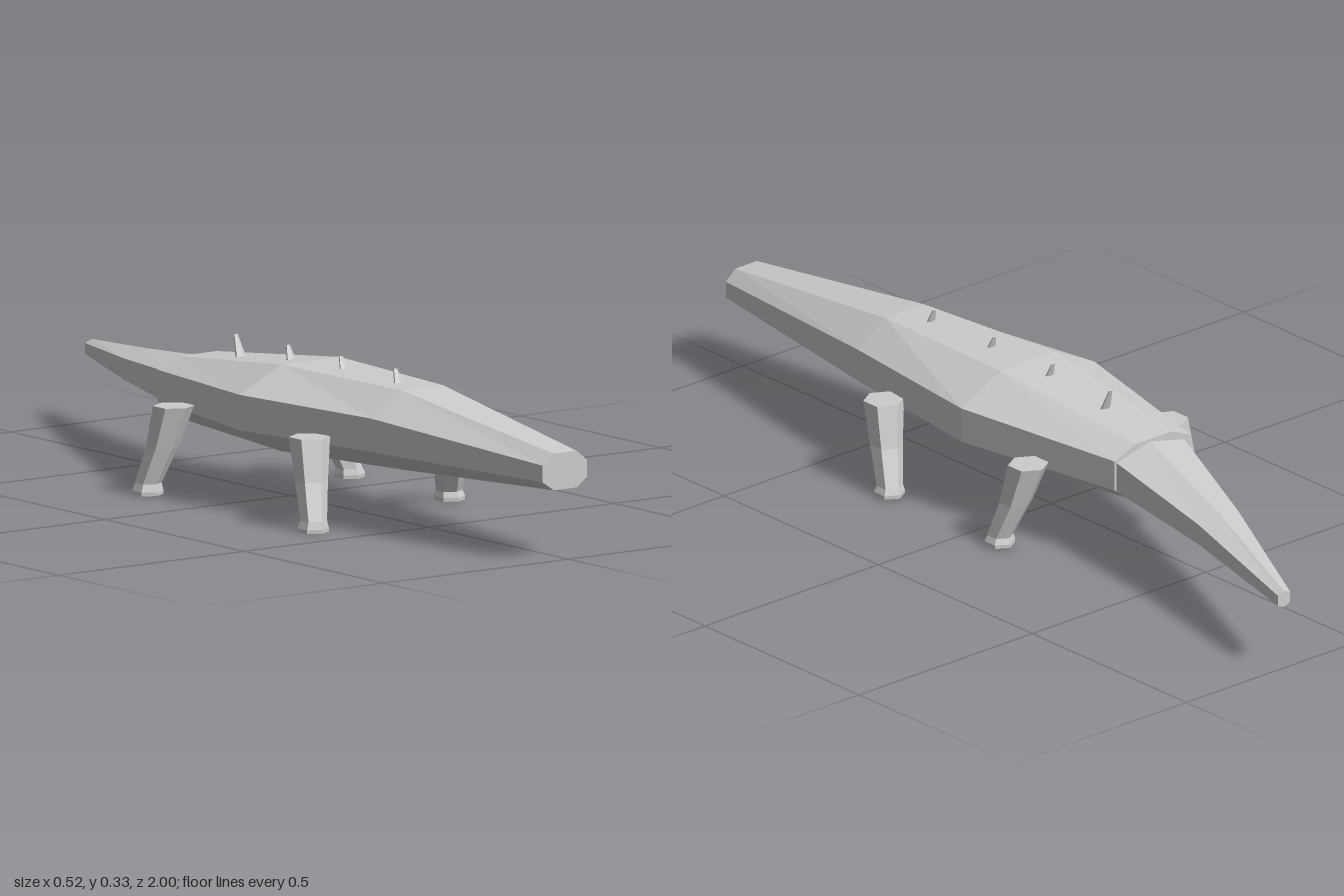
import * as THREE from 'three';

// Skin a list of rings (counter-clockwise seen from the first end) and cap both ends
function loft(rings) {
  const n = rings[0].length, pos = [];
  const tri = (a, b, c) => pos.push(...a, ...b, ...c);
  for (let r = 0; r < rings.length - 1; r++) {
    const a = rings[r], b = rings[r + 1];
    for (let i = 0; i < n; i++) {
      const j = (i + 1) % n;
      tri(a[i], b[i], a[j]);
      tri(b[i], b[j], a[j]);
    }
  }
  const first = rings[0], last = rings[rings.length - 1];
  for (let i = 1; i < n - 1; i++) {
    tri(first[0], first[i], first[i + 1]);
    tri(last[0], last[i + 1], last[i]);
  }
  const g = new THREE.BufferGeometry();
  g.setAttribute('position', new THREE.Float32BufferAttribute(pos, 3));
  g.computeVertexNormals();
  return g;
}

// Octagonal body section: outer x, flat-top x, heights
const bodyRing = ([z, xl, xr, tl, tr, top, hi, lo, bottom]) => [
  [xr, lo, z], [xr, hi, z], [tr, top, z], [tl, top, z],
  [xl, hi, z], [xl, lo, z], [tl, bottom, z], [tr, bottom, z],
];

// Six-sided tail section with a ridge above and below
const tailRing = ([z, xl, xr, ridge, top, hi, lo, bottom]) => [
  [xr, lo, z], [xr, hi, z], [ridge, top, z], [xl, hi, z], [xl, lo, z], [ridge, bottom, z],
];

// Horizontal hexagon with its points along z
const legRing = (x, y, z, r) => Array.from({ length: 6 }, (_, i) => {
  const a = Math.PI / 6 + i * Math.PI / 3;
  return [x + r * Math.cos(a), y, z - r * Math.sin(a)];
});

export function createModel() {
  const model = new THREE.Group();
  const grey = new THREE.MeshStandardMaterial({ color: 0xcccccc, flatShading: true });
  grey.name = 'plain grey';
  const add = (name, geometry) => {
    const mesh = new THREE.Mesh(geometry, grey);
    mesh.name = name;
    model.add(mesh);
    return mesh;
  };

  // Body, snout to hips
  add('body', loft([
    [1.0, -0.07, 0.05, -0.04, 0.022, 0.235, 0.212, 0.175, 0.155],
    [0.47, -0.134, 0.138, -0.052, 0.06, 0.301, 0.248, 0.175, 0.128],
    [0.08, -0.195, 0.189, -0.083, 0.075, 0.307, 0.252, 0.174, 0.117],
    [-0.335, -0.105, 0.115, -0.05, 0.055, 0.264, 0.24, 0.172, 0.13],
  ].map(bodyRing)));

  // Tail, swept to its left
  add('tail', loft([
    [-0.32, -0.092, 0.107, 0.01, 0.26, 0.236, 0.168, 0.128],
    [-0.65, 0.04, 0.155, 0.1, 0.222, 0.206, 0.16, 0.133],
    [-1.0, 0.2, 0.235, 0.218, 0.181, 0.174, 0.15, 0.143],
  ].map(tailRing)));

  // Legs: side, hip z, foot z, sole height
  const legs = [
    ['frontRightLeg', -1, 0.327, 0.393, 0],
    ['frontLeftLeg', 1, 0.327, 0.264, 0.004],
    ['backRightLeg', -1, -0.16, -0.2, 0],
    ['backLeftLeg', 1, -0.142, -0.094, 0.004],
  ];
  for (const [name, side, hip, foot, sole] of legs) {
    const mid = hip + (foot - hip) * 0.45;
    add(name, loft([
      legRing(side * 0.193, 0.195, hip, 0.045),
      legRing(side * 0.21, 0.105, mid, 0.036),
      legRing(side * 0.231, 0.025, foot, 0.029),
      legRing(side * 0.2325, sole + 0.008, foot, 0.034),
      legRing(side * 0.2325, sole, foot, 0.034),
    ]));
  }

  // Back spikes, leaning backwards
  [[0.39, 0.308], [0.195, 0.308], [0.005, 0.306], [-0.18, 0.298]].forEach(([z, y], i) => {
    const g = new THREE.CylinderGeometry(0.005, 0.016, 0.05 + (i === 3 ? 0.012 : 0), 6);
    g.scale(1, 1, 0.4);
    const spike = add('backSpike' + (i + 1), g);
    spike.position.set(-0.002, y, z);
    spike.rotation.x = -0.35;
  });

  return model;
}
